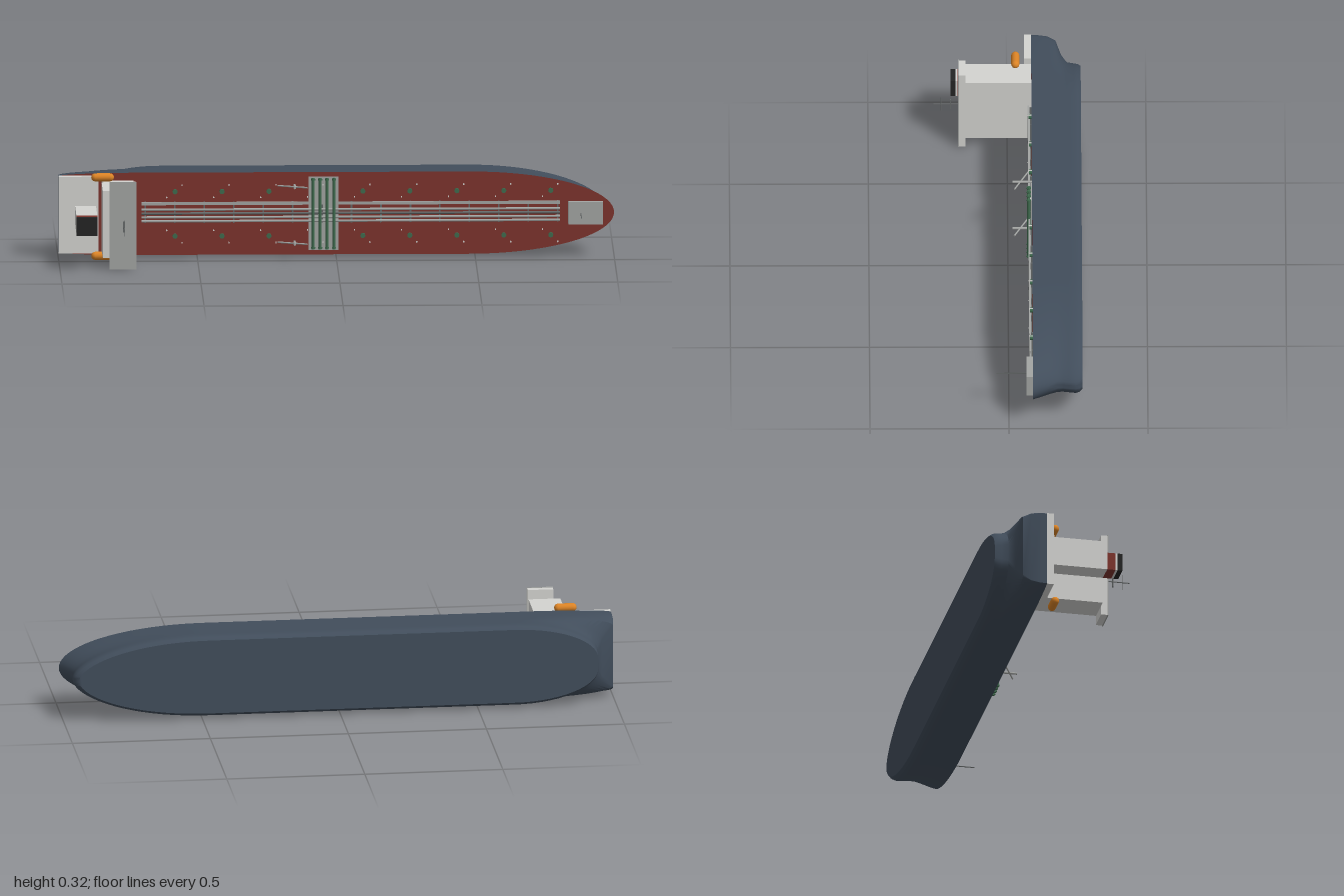
import * as THREE from 'three';
import { toCreasedNormals } from 'three/addons/utils/BufferGeometryUtils.js';

const material = (name, color, side = THREE.FrontSide) => {
  const m = new THREE.MeshStandardMaterial({ color, side });
  m.name = name;
  return m;
};

// Waterlines: height z, stern x, bow x, half breadth, transom fraction, stern rounding length, bow fullness
const LEVELS = [
  [-0.087, -1, 1, 0.15, 0.92, 0.3, 0.5],
  [-0.11, -1, 0.988, 0.15, 0.92, 0.3, 0.5],
  [-0.145, -1, 0.971, 0.15, 0.88, 0.3, 0.53],
  [-0.175, -0.998, 0.962, 0.15, 0.75, 0.3, 0.57],
  [-0.195, -0.955, 0.962, 0.15, 0.45, 0.3, 0.58],
  [-0.215, -0.938, 0.966, 0.15, 0.22, 0.3, 0.58],
  [-0.24, -0.935, 0.968, 0.15, 0.18, 0.3, 0.56],
  [-0.254, -0.935, 0.962, 0.147, 0.17, 0.3, 0.56],
  [-0.265, -0.933, 0.948, 0.137, 0.15, 0.3, 0.56],
];
const N = 56;

// Closed outline of one waterline: stern to bow on +y, then back on -y
function waterline([z, xa, xb, half, transom, len, power]) {
  const side = [];
  for (let i = 0; i <= N; i++) {
    const x = xa + (xb - xa) * (1 - Math.cos((Math.PI * i) / N)) / 2;
    const t = Math.min(1, (x - xa) / len);
    const u = THREE.MathUtils.clamp((x - 0.48) / (xb - 0.48), 0, 1);
    const stern = transom + (1 - transom) * Math.sqrt(1 - (1 - t) ** 2);
    side.push([x, half * stern * Math.max(0, 1 - u * u) ** power, z]);
  }
  return [...side, ...side.slice().reverse().map(([x, y]) => [x, -y, z])];
}

function hullGeometry() {
  const rings = LEVELS.map(waterline);
  const count = rings[0].length;
  const index = [];
  for (let k = 0; k < rings.length - 1; k++) {
    for (let i = 0; i < count; i++) {
      const a = k * count + i, b = k * count + (i + 1) % count;
      index.push(a, b, a + count, b, b + count, a + count);
    }
  }
  // Flat bottom
  const base = (rings.length - 1) * count;
  for (let i = 0; i < N; i++) {
    const p = base + i, q = base + count - 1 - i;
    index.push(p, p + 1, q, p + 1, q - 1, q);
  }
  const geo = new THREE.BufferGeometry();
  geo.setAttribute('position', new THREE.Float32BufferAttribute(rings.flat(2), 3));
  geo.setIndex(index);
  return toCreasedNormals(geo, 0.7);
}

export function createModel() {
  const hullBlue = material('hull blue grey', 0x414d5b);
  const deckRed = material('deck red', 0x7c342d);
  const white = material('house light grey', 0xd3d3d0);
  const grey = material('fitting grey', 0xa3a5a3);
  const dark = material('mast dark grey', 0x666a6a);
  const black = material('funnel black', 0x242424);
  const green = material('pipe green', 0x3f6b4e);
  const orange = material('lifeboat orange', 0xdc8426);

  const model = new THREE.Group();
  const ship = new THREE.Group();
  ship.name = 'ship';
  ship.position.y = 0.16;
  model.add(ship);

  const add = (name, geo, mat) => {
    const mesh = new THREE.Mesh(geo, mat);
    mesh.name = name;
    ship.add(mesh);
    return mesh;
  };
  // Box from its ranges along x, y and z
  const box = (name, mat, [x0, x1], [y0, y1], [z0, z1]) => {
    const mesh = add(name, new THREE.BoxGeometry(x1 - x0, y1 - y0, z1 - z0), mat);
    mesh.position.set((x0 + x1) / 2, (y0 + y1) / 2, (z0 + z1) / 2);
    return mesh;
  };
  // Round bar between two points
  const bar = (name, mat, from, to, radius, sides = 8) => {
    const a = new THREE.Vector3(...from), b = new THREE.Vector3(...to);
    const mesh = add(name, new THREE.CylinderGeometry(radius, radius, a.distanceTo(b), sides), mat);
    mesh.position.copy(a).add(b).multiplyScalar(0.5);
    mesh.quaternion.setFromUnitVectors(new THREE.Vector3(0, 1, 0), b.sub(a).normalize());
    return mesh;
  };
  const DECK = -0.087;

  // Hull and deck
  add('hull', hullGeometry(), hullBlue);
  const outline = new THREE.Shape(waterline(LEVELS[0]).map(([x, y]) => new THREE.Vector2(x, y)));
  add('deck', new THREE.ShapeGeometry(outline), deckRed).position.z = DECK;

  // Accommodation and bridge
  box('aftHouse', white, [-1, -0.855], [-0.14, 0.14], [DECK, -0.062]);
  box('mainHouse', white, [-0.845, -0.73], [-0.122, 0.122], [DECK, 0.15]);
  box('bridge', white, [-0.82, -0.727], [-0.157, 0.157], [0.15, 0.173]);
  box('bridgeRoof', grey, [-0.822, -0.725], [-0.159, 0.159], [0.173, 0.177]);

  // Funnel with bands
  const funnelX = [-0.94, -0.865], funnelY = [-0.033, 0.033];
  box('funnel', white, funnelX, funnelY, [-0.062, 0.147]);
  box('funnelRedBand', deckRed, funnelX, funnelY, [0.147, 0.177]);
  box('funnelLightBand', white, funnelX, funnelY, [0.177, 0.185]);
  box('funnelTop', black, funnelX, funnelY, [0.185, 0.203]);

  // Masts
  bar('bridgeMast', dark, [-0.77, 0, 0.177], [-0.77, 0, 0.265], 0.002);
  bar('mastYard', dark, [-0.77, -0.029, 0.238], [-0.77, 0.029, 0.238], 0.0015);
  box('radar', dark, [-0.774, -0.766], [-0.02, 0.02], [0.202, 0.206]);
  box('forecastle', grey, [0.835, 0.96], [-0.041, 0.041], [DECK, -0.063]);
  bar('foreMast', dark, [0.88, 0, -0.063], [0.88, 0, 0.045], 0.002);

  // Lifeboats and deck cranes on both sides
  for (const s of [-1, 1]) {
    const boat = add('lifeboat', new THREE.CapsuleGeometry(0.0148, 0.052, 6, 16), orange);
    boat.rotation.z = Math.PI / 2;
    boat.position.set(-0.842, s * 0.143, -0.03);
    bar('davit', white, [-0.842, s * 0.118, -0.03], [-0.842, s * 0.143, -0.03], 0.004);
    bar('cranePost', grey, [-0.15, s * 0.103, DECK], [-0.15, s * 0.103, -0.018], 0.0045);
    bar('craneBoom', grey, [-0.21, s * 0.103, -0.073], [-0.105, s * 0.103, -0.024], 0.003);
  }

  // Cargo pipes along the centre line, with walkway and supports
  for (const y of [-0.026, -0.012, 0.002, 0.016]) {
    bar('cargoPipe', y === 0.002 ? dark : grey, [-0.7, y, -0.078], [0.805, y, -0.078], 0.0045);
  }
  box('walkway', grey, [-0.7, 0.805], [0.033, 0.044], [-0.079, -0.074]);
  for (let x = -0.69; x < 0.8; x += 0.106) {
    box('pipeSupport', dark, [x, x + 0.006], [-0.033, 0.044], [DECK, -0.081]);
  }

  // Manifold crossing the deck
  box('manifoldTray', grey, [-0.1, 0.008], [-0.134, 0.134], [DECK, -0.083]);
  for (const x of [-0.083, -0.058, -0.033, -0.008]) {
    bar('manifoldPipe', green, [x, -0.13, -0.075], [x, 0.13, -0.075], 0.0055, 10);
    for (const s of [-1, 1]) {
      bar('manifoldFlange', green, [x, s * 0.122, -0.075], [x, s * 0.127, -0.075], 0.008, 10);
    }
  }

  // Tank hatches and vents
  for (let i = 0; i < 9; i++) {
    const x = -0.58 + i * 0.169;
    for (const s of [-1, 1]) {
      if (i !== 3) bar('tankHatch', green, [x, s * 0.081, DECK], [x, s * 0.081, -0.077], 0.009, 12);
      bar('tankVent', white, [x + 0.025, s * 0.105, DECK], [x + 0.025, s * 0.105, -0.073], 0.0025, 6);
      bar('tankVent', white, [x - 0.03, s * 0.06, DECK], [x - 0.03, s * 0.06, -0.076], 0.0025, 6);
    }
  }
  return model;
}
